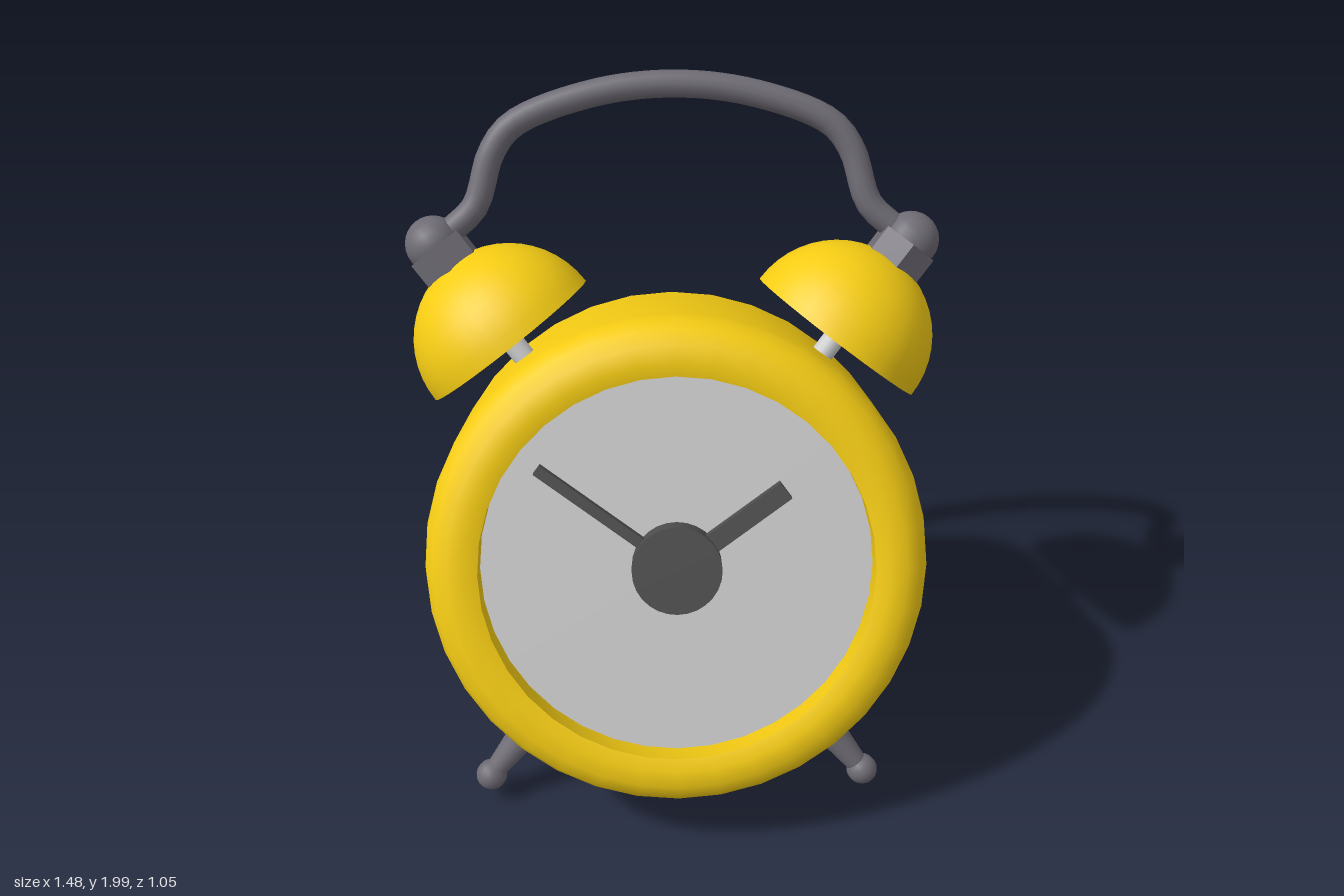
import * as THREE from 'three';
import { toCreasedNormals } from 'three/addons/utils/BufferGeometryUtils.js';

const mat = (color) => new THREE.MeshStandardMaterial({ color });
const v2 = (pts) => pts.map(([x, y]) => new THREE.Vector2(x, y));

function add(parent, name, geometry, material, x = 0, y = 0, z = 0) {
  const mesh = new THREE.Mesh(geometry, material);
  mesh.name = name;
  mesh.position.set(x, y, z);
  parent.add(mesh);
  return mesh;
}

const lathe = (pts, segments) =>
  toCreasedNormals(new THREE.LatheGeometry(v2(pts), segments), 0.7);

export function createModel() {
  const yellow = mat(0xf5cc14), metal = mat(0x6e6b74), dark = mat(0x4f4f4f), grey = mat(0xcccccc);
  const model = new THREE.Group();
  model.name = 'alarmClock';

  // The whole clock leans back; local z = 0 is the back of the case
  const clock = new THREE.Group();
  clock.name = 'tiltedClock';
  clock.position.set(0, 0.65, -0.255);
  clock.rotation.x = -THREE.MathUtils.degToRad(22.4);
  model.add(clock);

  // Case with rounded front rim and recess for the dial
  const caseGeo = lathe([
    [0, 0], [0.7, 0], [0.7, 0.47], [0.692, 0.52], [0.67, 0.56], [0.63, 0.585],
    [0.58, 0.59], [0.545, 0.58], [0.545, 0.5],
  ], 36).rotateX(Math.PI / 2);
  add(clock, 'case', caseGeo, yellow);

  // Dial, hub and hands
  add(clock, 'dial', new THREE.CircleGeometry(0.547, 36), grey, 0, 0, 0.502);
  add(clock, 'hub', new THREE.CylinderGeometry(0.125, 0.125, 0.06, 28).rotateX(Math.PI / 2), dark, 0, 0, 0.53);
  const hand = (name, x, y, width) => {
    const length = Math.hypot(x, y);
    const geo = new THREE.BoxGeometry(width, length, 0.028).translate(0, length / 2, 0);
    add(clock, name, geo, dark, 0, 0, 0.528).rotation.z = -Math.atan2(x, y);
  };
  hand('minuteHand', -0.38, 0.285, 0.03);
  hand('hourHand', 0.3, 0.22, 0.055);

  // Hollow half-sphere bell: down the inside, across the lip, up the outside
  const bellPts = [];
  const steps = 12;
  for (let i = 0; i <= steps; i++) {
    const a = (i / steps) * Math.PI / 2;
    bellPts.push([0.25 * Math.sin(a), 0.25 * Math.cos(a)]);
  }
  for (let i = 0; i <= steps; i++) {
    const a = (i / steps) * Math.PI / 2;
    bellPts.push([0.27 * Math.cos(a), 0.27 * Math.sin(a)]);
  }
  const bellGeo = lathe(bellPts, 32);
  const nutGeo = toCreasedNormals(new THREE.CylinderGeometry(0.092, 0.092, 0.115, 6), 0.5);

  // Tapered leg ending in a ball foot
  const legGeo = new THREE.CylinderGeometry(0.03, 0.056, 0.24, 16);

  for (const s of [1, -1]) {
    const side = s > 0 ? 'left' : 'right';

    const bellArm = new THREE.Group();
    bellArm.name = side + 'BellAssembly';
    bellArm.position.z = 0.285;
    bellArm.rotation.z = -s * THREE.MathUtils.degToRad(37.2);
    clock.add(bellArm);
    add(bellArm, 'bellPost', new THREE.CylinderGeometry(0.032, 0.032, 0.34, 16), grey, 0, 0.84, 0);
    add(bellArm, 'bell', bellGeo, yellow, 0, 0.758, 0);
    add(bellArm, 'nut', nutGeo, metal, 0, 1.03, 0);
    add(bellArm, 'nutCap', new THREE.SphereGeometry(0.08, 20, 14), metal, 0, 1.095, 0);

    const leg = new THREE.Group();
    leg.name = side + 'Leg';
    leg.position.z = 0.28;
    leg.rotation.z = -s * THREE.MathUtils.degToRad(142);
    clock.add(leg);
    add(leg, 'legShaft', legGeo, metal, 0, 0.78, 0);
    add(leg, 'foot', new THREE.SphereGeometry(0.046, 16, 12), metal, 0, 0.907, 0);
  }

  // Carrying handle arched between the two bells
  const half = [[0.62, 0.905], [0.545, 0.975], [0.495, 1.121], [0.435, 1.195], [0.22, 1.275]];
  const path = [
    ...half.map(([x, y]) => [-x, y]), [0, 1.3],
    ...half.slice().reverse(),
  ].map(([x, y]) => new THREE.Vector3(x, y, 0.285));
  const curve = new THREE.CatmullRomCurve3(path, false, 'centripetal');
  add(clock, 'handle', new THREE.TubeGeometry(curve, 48, 0.037, 12), metal);

  return model;
}
